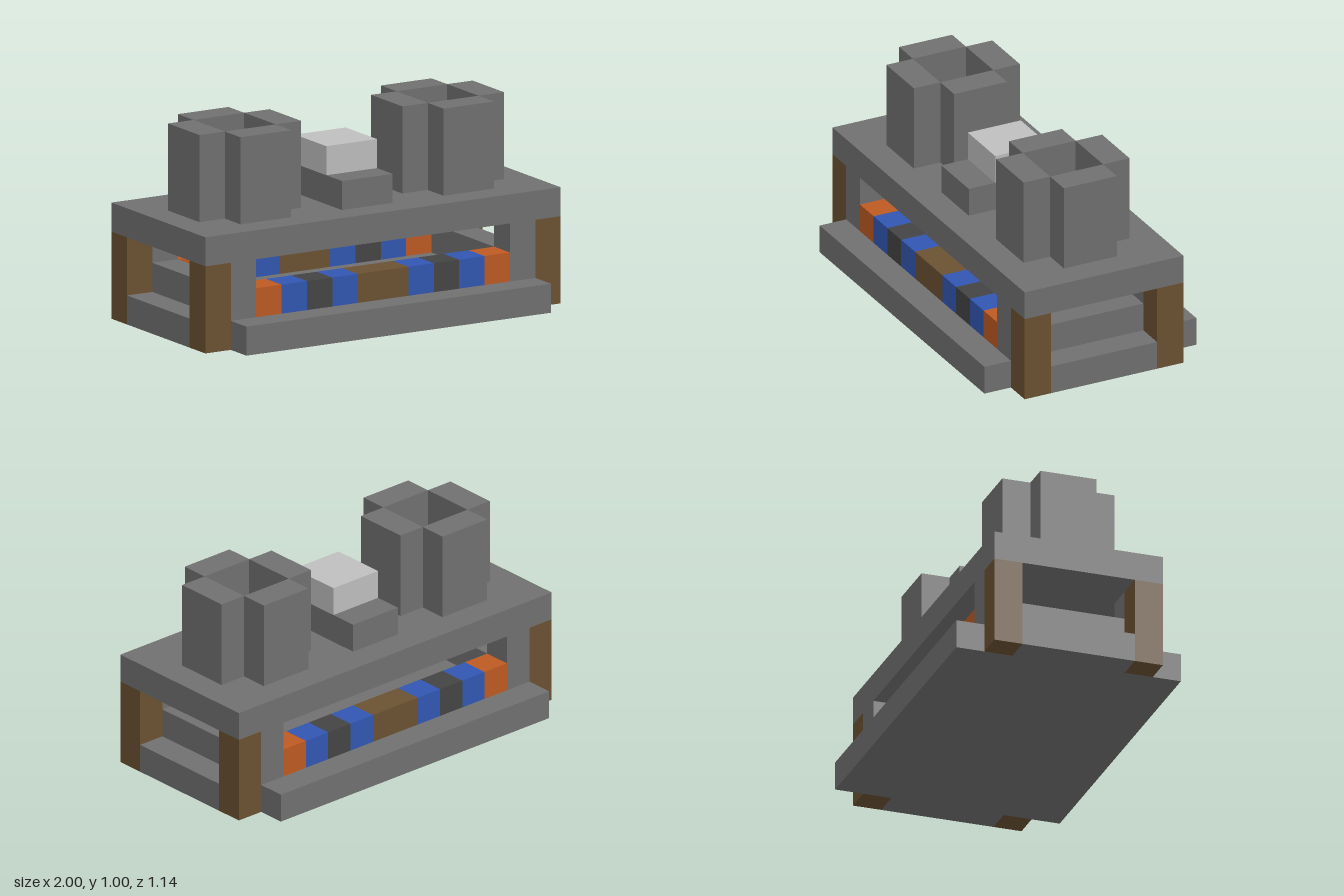
import * as THREE from 'three';

const U = 1 / 7; // one block

const paint = (name, color) => {
  const m = new THREE.MeshStandardMaterial({ color });
  m.name = name;
  return m;
};

export function createModel() {
  const stone = paint('stone grey', 0x707070);
  const pale = paint('pale grey', 0xbebebe);
  const coal = paint('charcoal', 0x444444);
  const wood = paint('brown', 0x6b5131);
  const blue = paint('blue', 0x3156b2);
  const rust = paint('rust orange', 0xbd5a22);
  const glow = paint('amber', 0xc27321);

  const model = new THREE.Group();
  model.name = 'blockMachine';

  // Box between two corners, measured in blocks
  const box = (name, mat, x0, x1, y0, y1, z0, z1, parent = model) => {
    const mesh = new THREE.Mesh(
      new THREE.BoxGeometry((x1 - x0) * U, (y1 - y0) * U, (z1 - z0) * U), mat);
    mesh.position.set((x0 + x1) * U / 2, (y0 + y1) * U / 2, (z0 + z1) * U / 2);
    mesh.name = name;
    parent.add(mesh);
    return mesh;
  };

  // Base and top slab
  box('base', stone, -6, 6, 0, 1, -4, 4);
  box('topSlab', stone, -7, 7, 3, 4, -3, 3);

  for (const sx of [-1, 1]) {
    const side = (name, mat, a, b, y0, y1, z0, z1) =>
      box(name, mat, Math.min(sx * a, sx * b), Math.max(sx * a, sx * b), y0, y1, z0, z1);

    // Side steps and rails between the posts
    side('sideStep', stone, 6, 7, 0, 1, -2, 2);
    side('sideRail', stone, 5, 6, 1, 2, -2, 2);

    // Corner posts and uprights
    for (const z of [-3, 2]) {
      side('cornerPost', wood, 6, 7, 0, 3, z, z + 1);
      side('upright', stone, 5, 6, 1, 3, z, z + 1);
    }

    // Hollow chimneys with a glowing floor
    const chimney = new THREE.Group();
    chimney.name = 'chimney';
    chimney.position.x = sx * 4 * U;
    model.add(chimney);
    for (const s of [-1.5, 1.5]) {
      box('chimneyWall', stone, s - 0.5, s + 0.5, 4, 7, -1, 1, chimney);
      box('chimneyWall', stone, -1, 1, 4, 7, s - 0.5, s + 0.5, chimney);
    }
    box('chimneyGlow', glow, -1, 1, 4, 4.05, -1, 1, chimney);
  }

  // Coloured strips along the front and back
  const strip = [[-5, -4, rust], [-4, -3, blue], [-3, -2, coal], [-2, -1, blue], [-1, 1, wood],
    [1, 2, blue], [2, 3, coal], [3, 4, blue], [4, 5, rust]];
  for (const z of [-3, 2])
    for (const [x0, x1, mat] of strip) box('stripBlock', mat, x0, x1, 1, 2, z, z + 1);

  // Middle pedestal and cap
  box('pedestal', stone, -1, 1, 4, 5, -2, 2);
  box('pedestalCap', pale, -1, 1, 5, 6, -1, 1);

  return model;
}
